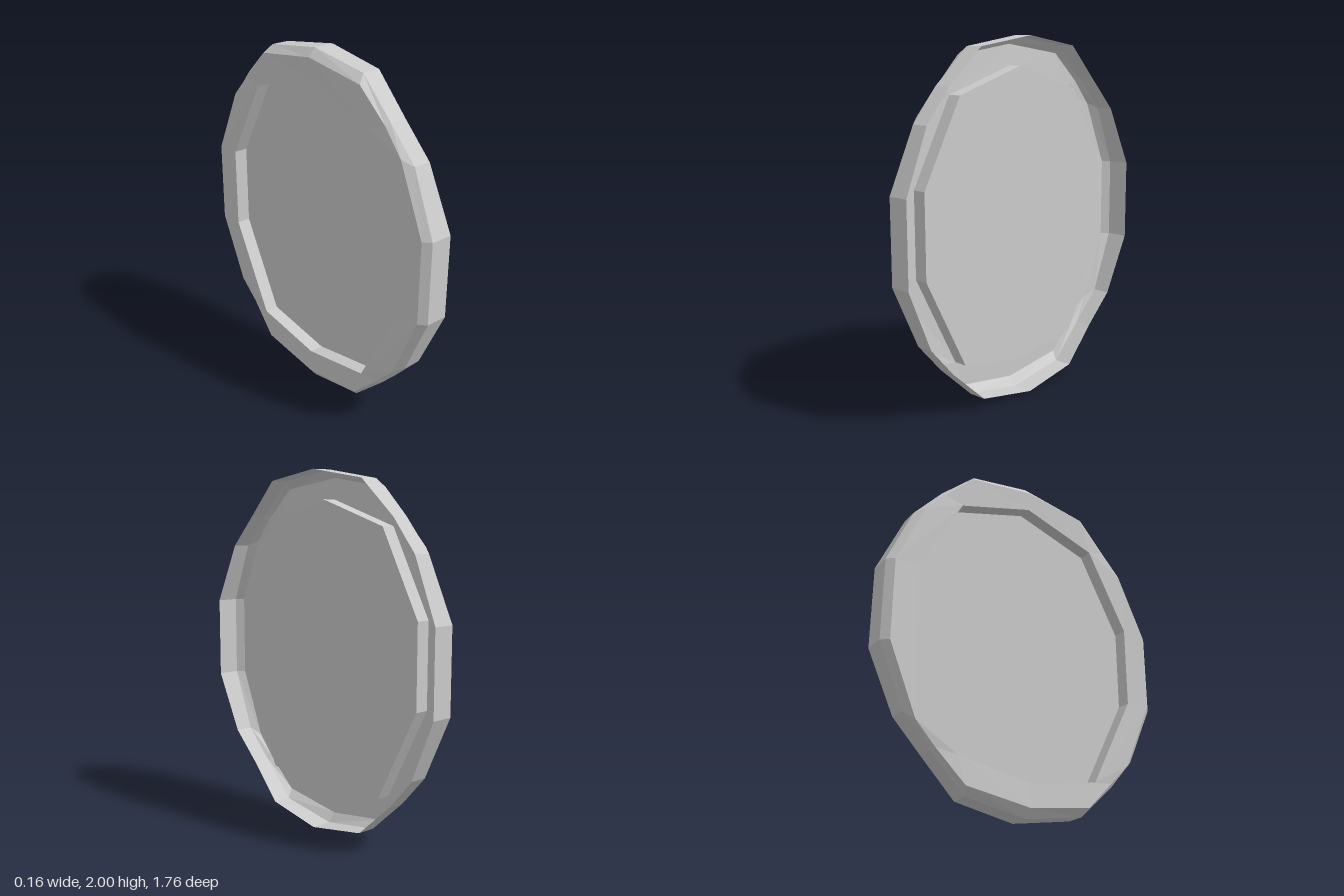
import * as THREE from 'three';

// Half of the outline, top to bottom on the +z side. Each station holds
// outer z, outer y, bevel z, bevel y, hole z, hole y, and the x of the open edge, shoulder and back.
const HALF = [
  [0.00, 2.00, 0.00, 1.955, 0.00, 1.84, 0.08, -0.04, -0.08],
  [0.36, 1.945, 0.385, 1.90, 0.45, 1.70, 0.07, -0.035, -0.08],
  [0.57, 1.75, 0.555, 1.735, 0.45, 1.70, 0.053, -0.045, -0.068],
  [0.73, 1.57, 0.675, 1.60, 0.45, 1.70, 0.066, -0.035, -0.074],
  [0.88, 1.23, 0.84, 1.23, 0.70, 1.235, 0.08, -0.045, -0.08],
  [0.88, 0.77, 0.84, 0.77, 0.70, 0.77, 0.08, -0.045, -0.08],
  [0.73, 0.43, 0.675, 0.39, 0.435, 0.255, 0.066, -0.035, -0.074],
  [0.57, 0.255, 0.555, 0.27, 0.435, 0.255, 0.053, -0.045, -0.068],
  [0.36, 0.06, 0.385, 0.105, 0.435, 0.255, 0.07, -0.035, -0.08],
  [0.00, 0.00, 0.00, 0.05, 0.00, 0.18, 0.08, -0.04, -0.08],
];
const HOLE_BACK = -0.075;
const PANEL_X = 0.005;

// Full closed loop: the half plus its mirror image across z
function makeLoop(pick) {
  const side = HALF.map(pick);
  const mirrored = side.slice(1, -1).reverse().map((p) => new THREE.Vector3(p.x, p.y, -p.z));
  return [...side, ...mirrored];
}

function pushTriangle(out, a, b, c) {
  const area = b.clone().sub(a).cross(c.clone().sub(a)).length();
  if (area > 1e-7) for (const p of [a, b, c]) out.push(p.x, p.y, p.z);
}

// Band of facets between two loops
function band(loopA, loopB) {
  const out = [];
  loopA.forEach((a, i) => {
    const j = (i + 1) % loopA.length;
    pushTriangle(out, a, loopB[i], loopB[j]);
    pushTriangle(out, a, loopB[j], loopA[j]);
  });
  return out;
}

// Flat fan closing a loop
function cap(loop, x) {
  const out = [];
  const centre = new THREE.Vector3(x, 1, 0);
  loop.forEach((a, i) => pushTriangle(out, a, centre, loop[(i + 1) % loop.length]));
  return out;
}

export function createModel() {
  const group = new THREE.Group();
  group.name = 'shallowDish';
  const material = new THREE.MeshStandardMaterial({
    color: 0xcccccc, flatShading: true, side: THREE.DoubleSide,
  });

  const add = (name, positions) => {
    const geometry = new THREE.BufferGeometry();
    geometry.setAttribute('position', new THREE.Float32BufferAttribute(positions, 3));
    geometry.computeVertexNormals();
    const mesh = new THREE.Mesh(geometry, material);
    mesh.name = name;
    group.add(mesh);
  };

  const openEdge = makeLoop((s) => new THREE.Vector3(s[6], s[1], s[0]));
  const shoulder = makeLoop((s) => new THREE.Vector3(s[7], s[1], s[0]));
  const bevel = makeLoop((s) => new THREE.Vector3(s[8], s[3], s[2]));
  const holeBack = makeLoop((s) => new THREE.Vector3(HOLE_BACK, s[5], s[4]));
  const panelEdge = makeLoop((s) => new THREE.Vector3(PANEL_X, s[5], s[4]));

  add('rimWall', band(openEdge, shoulder));
  add('rimBevel', band(shoulder, bevel));
  add('backRing', band(bevel, holeBack));
  add('recessWall', band(holeBack, panelEdge));
  add('centrePanel', cap(panelEdge, PANEL_X));
  return group;
}
